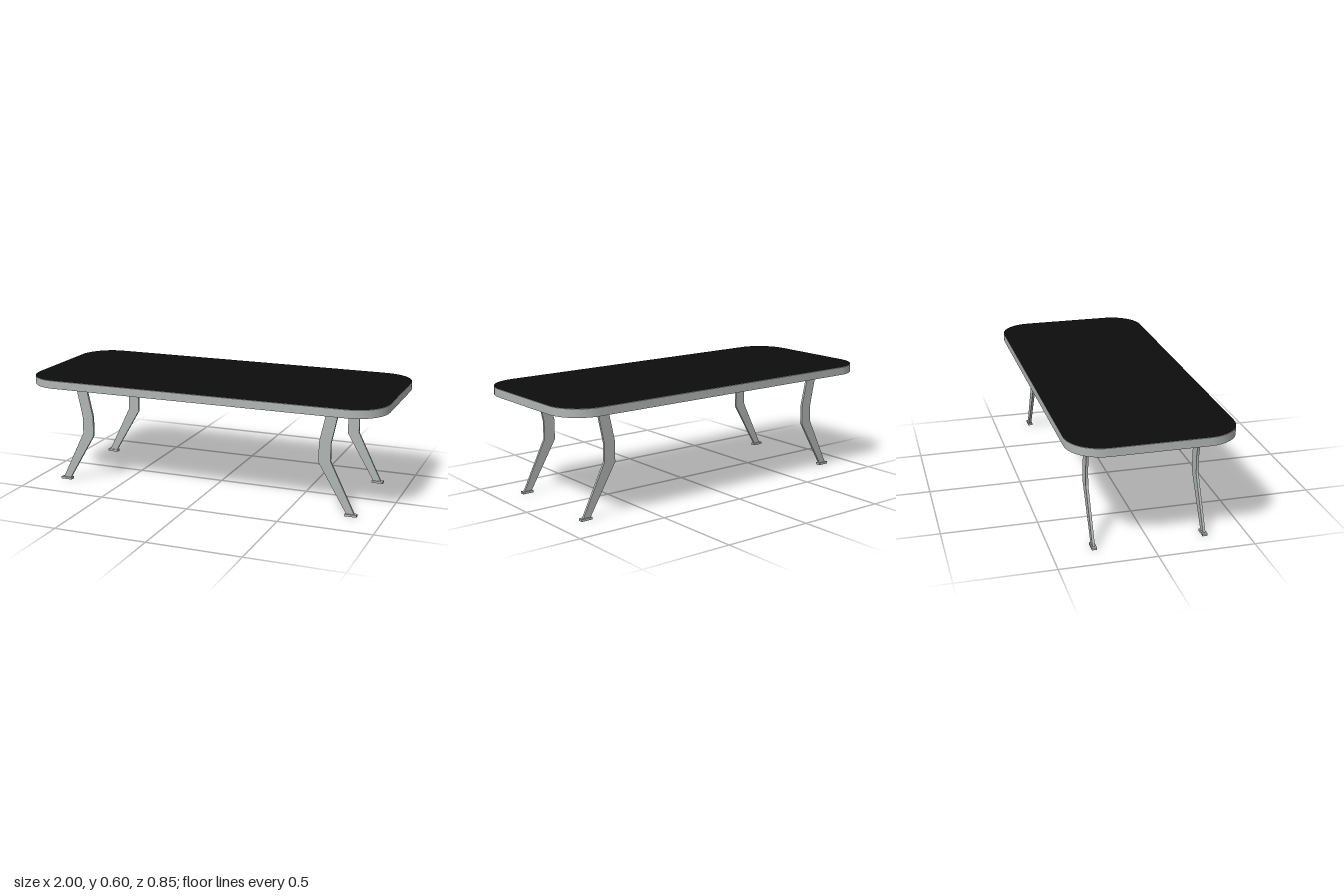
import * as THREE from 'three';
import { toCreasedNormals } from 'three/addons/utils/BufferGeometryUtils.js';

const metal = new THREE.MeshStandardMaterial({ name: 'grey metal', color: 0xb0b5b3 });
const black = new THREE.MeshStandardMaterial({ name: 'black top', color: 0x0d0d0d });

// Rounded rectangle with half sizes w, d and corner radius r
function roundedRect(w, d, r) {
  const s = new THREE.Shape();
  s.absarc(w - r, d - r, r, 0, Math.PI / 2);
  s.absarc(-w + r, d - r, r, Math.PI / 2, Math.PI);
  s.absarc(-w + r, -d + r, r, Math.PI, Math.PI * 1.5);
  s.absarc(w - r, -d + r, r, Math.PI * 1.5, Math.PI * 2);
  s.closePath();
  return s;
}

function addMesh(parent, name, geometry, material, x = 0, y = 0, z = 0) {
  const mesh = new THREE.Mesh(geometry, material);
  mesh.name = name;
  mesh.position.set(x, y, z);
  parent.add(mesh);
  return mesh;
}

export function createModel() {
  const model = new THREE.Group();
  model.name = 'table';

  // Table slab with a thin black surface
  const outline = roundedRect(1, 0.427, 0.18);
  const slab = new THREE.ExtrudeGeometry(outline, { depth: 0.043, bevelEnabled: false, curveSegments: 5 });
  slab.rotateX(-Math.PI / 2);
  addMesh(model, 'tabletop', toCreasedNormals(slab, 0.6), metal, 0, 0.557, 0);
  const surface = new THREE.ShapeGeometry(outline, 5);
  surface.rotateX(-Math.PI / 2);
  addMesh(model, 'topSurface', surface, black, 0, 0.602, 0);

  // Bent flat legs, each on a small foot plate
  const profile = [
    [0.69, 0.558], [0.65, 0.38], [0.65, 0.272], [0.805, 0.01],
    [0.848, 0.01], [0.714, 0.282], [0.714, 0.378], [0.752, 0.558],
  ];
  for (const sx of [-1, 1]) {
    const shape = new THREE.Shape(profile.map(([x, y]) => new THREE.Vector2(sx * x, y)));
    const legGeometry = new THREE.ExtrudeGeometry(shape, { depth: 0.013, bevelEnabled: false });
    legGeometry.translate(0, 0, -0.0065);
    for (const sz of [-1, 1]) {
      const leg = new THREE.Group();
      leg.name = (sz > 0 ? 'front' : 'back') + (sx > 0 ? 'Left' : 'Right') + 'Leg';
      leg.position.z = sz * 0.287;
      addMesh(leg, 'legBar', legGeometry, metal);
      addMesh(leg, 'foot', new THREE.BoxGeometry(0.064, 0.012, 0.026), metal, sx * 0.829, 0.006, 0);
      model.add(leg);
    }
  }
  return model;
}
